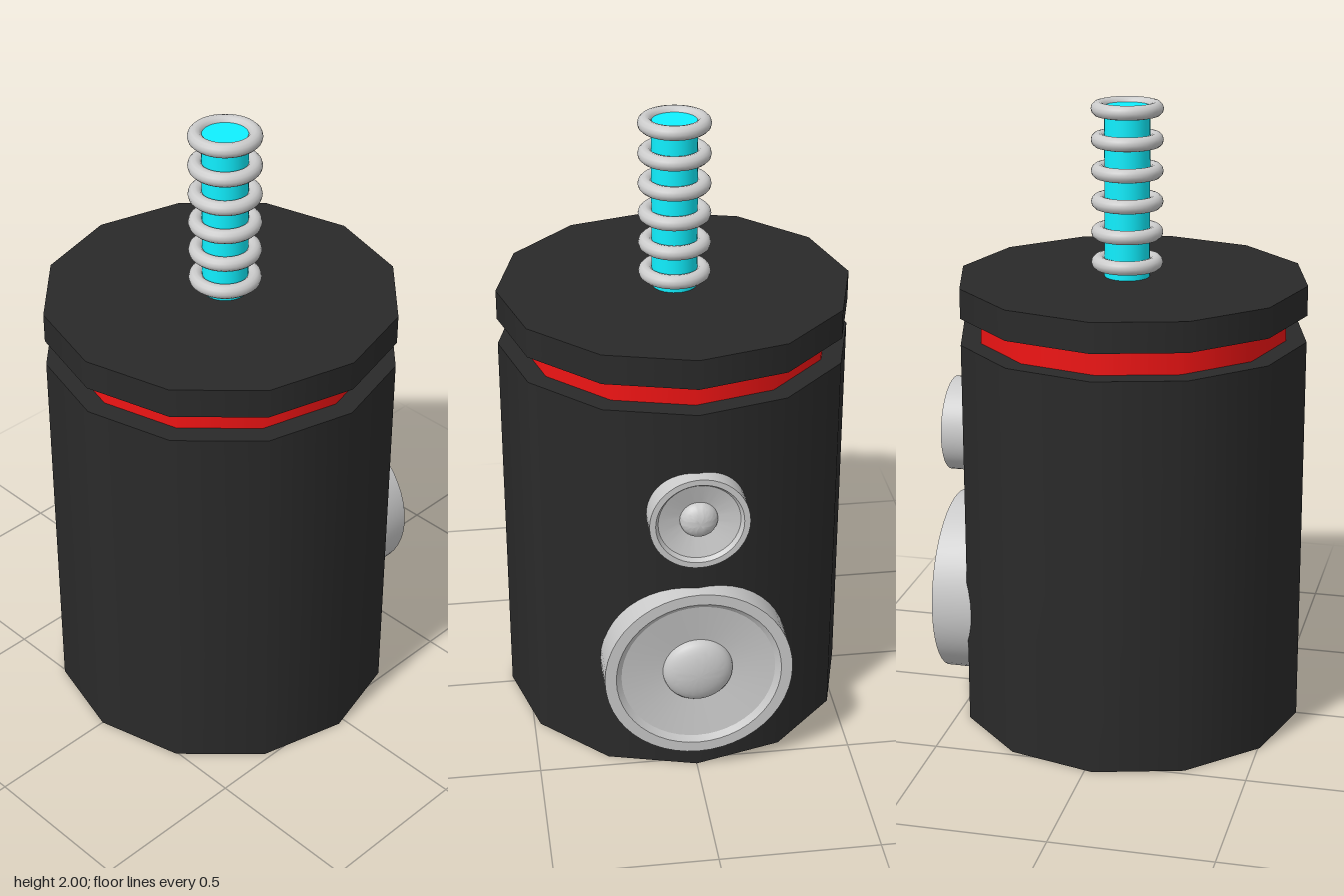
import * as THREE from 'three';
import { toCreasedNormals } from 'three/addons/utils/BufferGeometryUtils.js';

const BODY_Z = 0.025;
const ROD_Z = 0.008;

const material = (color) => new THREE.MeshStandardMaterial({ color });
const black = material(0x2a2a2a);
const red = material(0xf01414);
const cyan = material(0x10f0ff);
const grey = material(0xcccccc);

function addMesh(parent, name, geometry, mat, x, y, z) {
  const mesh = new THREE.Mesh(geometry, mat);
  mesh.name = name;
  mesh.position.set(x, y, z);
  parent.add(mesh);
  return mesh;
}

// Upright cylinder between two heights
function addColumn(parent, name, radius, bottom, top, sides, mat, z) {
  const geometry = new THREE.CylinderGeometry(radius, radius, top - bottom, sides);
  return addMesh(parent, name, geometry, mat, 0, (bottom + top) / 2, z);
}

// Round speaker facing the back: outer wall, rim, shallow cone and domed cap
function speakerGeometry(radius, capRadius, capTop) {
  const back = 0.4, rim = 0.57, floor = 0.538;
  const profile = [
    [0, back], [radius, back], [radius, rim], [radius * 0.88, rim],
    [radius * 0.82, rim - 0.014], [capRadius, floor],
  ];
  const steps = 8;
  for (let i = 1; i <= steps; i++) {
    const a = (i / steps) * Math.PI / 2;
    profile.push([i === steps ? 0 : capRadius * Math.cos(a), floor + (capTop - floor) * Math.sin(a)]);
  }
  const points = profile.map(([r, d]) => new THREE.Vector2(r, d));
  const geometry = new THREE.LatheGeometry(points, 48).rotateX(-Math.PI / 2);
  return toCreasedNormals(geometry, 0.5);
}

export function createModel() {
  const model = new THREE.Group();
  model.name = 'speakerCanister';

  // Twelve-sided canister with a recessed red band and a lid
  addColumn(model, 'body', 0.555, 0, 1.27, 12, black, BODY_Z);
  addColumn(model, 'redBand', 0.49, 1.26, 1.36, 12, red, BODY_Z);
  addColumn(model, 'lid', 0.555, 1.355, 1.45, 12, black, BODY_Z);

  // Glowing rod with a stack of rings
  const antenna = new THREE.Group();
  antenna.name = 'antenna';
  model.add(antenna);
  addColumn(antenna, 'rod', 0.071, 1.44, 1.985, 32, cyan, ROD_Z);
  const ringGeometry = new THREE.TorusGeometry(0.09, 0.0225, 12, 40).rotateX(Math.PI / 2);
  for (let i = 0; i < 6; i++) {
    addMesh(antenna, 'ring', ringGeometry, grey, 0, 1.495 + i * 0.0965, ROD_Z);
  }

  // Speakers on the back
  addMesh(model, 'largeSpeaker', speakerGeometry(0.295, 0.11, 0.584), grey, 0, 0.375, 0);
  addMesh(model, 'smallSpeaker', speakerGeometry(0.153, 0.058, 0.576), grey, 0, 0.922, 0);

  return model;
}
